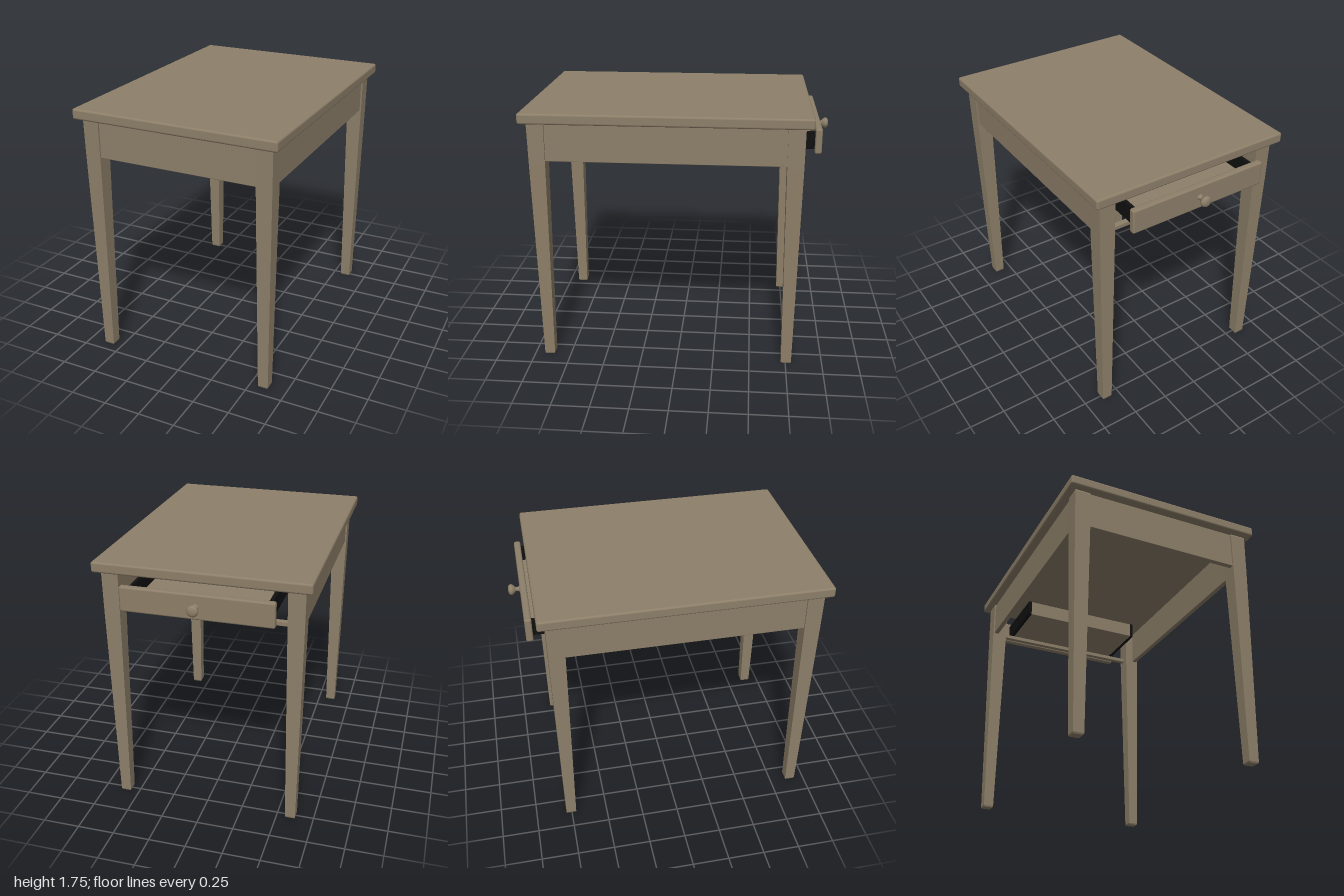
import * as THREE from 'three';
import { RoundedBoxGeometry } from 'three/addons/geometries/RoundedBoxGeometry.js';

function material(name, color) {
  const m = new THREE.MeshStandardMaterial({ color });
  m.name = name;
  return m;
}
const wood = material('brown wood', 0x8d7f69);
const black = material('black drawer sides', 0x101010);

function add(parent, name, geometry, x = 0, y = 0, z = 0, mat = wood) {
  const mesh = new THREE.Mesh(geometry, mat);
  mesh.name = name;
  mesh.position.set(x, y, z);
  parent.add(mesh);
  return mesh;
}

// Softly rounded board given by its limits on each axis
function board(parent, name, [x0, x1], [y0, y1], [z0, z1], radius = 0.004, mat = wood) {
  const geometry = new RoundedBoxGeometry(x1 - x0, y1 - y0, z1 - z0, 2, radius);
  return add(parent, name, geometry, (x0 + x1) / 2, (y0 + y1) / 2, (z0 + z1) / 2, mat);
}

// Square leg: straight beside the apron, tapered below, chamfered at the foot
function legGeometry() {
  const levels = [[0, 0.031], [0.01, 0.035], [1.4, 0.053], [1.665, 0.055], [1.677, 0.052]];
  const box = new THREE.BoxGeometry(2, 4, 2, 1, 4, 1);
  const p = box.attributes.position;
  for (let i = 0; i < p.count; i++) {
    const [y, half] = levels[Math.round(p.getY(i) + 2)];
    p.setXYZ(i, p.getX(i) * half, y, p.getZ(i) * half);
  }
  const flat = box.toNonIndexed();
  flat.computeVertexNormals();
  return flat;
}

export function createModel() {
  const table = new THREE.Group();
  table.name = 'table';

  board(table, 'tableTop', [-0.695, 0.695], [1.675, 1.745], [-0.86, 1], 0.014);

  // Legs and side aprons
  const leg = legGeometry();
  for (const side of [-1, 1]) {
    const name = side > 0 ? 'left' : 'right';
    add(table, name + 'FrontLeg', leg, side * 0.594, 0, 0.897);
    add(table, name + 'BackLeg', leg, side * 0.594, 0, -0.754);
    const apron = board(table, name + 'Apron', [-0.017, 0.017], [1.42, 1.678], [-0.705, 0.85]);
    apron.position.x = side * 0.62;
  }

  // Front apron and the rail under the drawer
  board(table, 'frontApron', [-0.545, 0.545], [1.42, 1.678], [0.905, 0.94]);
  board(table, 'drawerRail', [-0.545, 0.545], [1.425, 1.455], [-0.785, -0.75]);

  // Drawer, pulled slightly open
  const drawer = new THREE.Group();
  drawer.name = 'drawer';
  table.add(drawer);
  board(drawer, 'drawerFront', [-0.49, 0.49], [1.465, 1.63], [-0.924, -0.879], 0.012);
  for (const side of [-1, 1]) {
    const panel = board(drawer, side > 0 ? 'drawerLeftSide' : 'drawerRightSide',
      [-0.0125, 0.0125], [1.49, 1.605], [-0.885, -0.41], 0.003, black);
    panel.position.x = side * 0.445;
  }
  board(drawer, 'drawerBack', [-0.435, 0.435], [1.492, 1.603], [-0.436, -0.411], 0.003);
  board(drawer, 'drawerBottom', [-0.435, 0.435], [1.492, 1.506], [-0.882, -0.43], 0.002);

  // Turned knob
  const profile = new THREE.SplineCurve([
    [0.022, 0], [0.015, 0.012], [0.014, 0.025], [0.03, 0.042],
    [0.037, 0.056], [0.03, 0.07], [0.015, 0.076], [0, 0.077],
  ].map(([r, h]) => new THREE.Vector2(r, h))).getPoints(28);
  profile.forEach((v) => { v.x = Math.max(v.x, 0); });
  const knob = add(drawer, 'knob', new THREE.LatheGeometry(profile, 28), 0, 1.548, -0.923);
  knob.rotation.x = -Math.PI / 2;

  return table;
}
